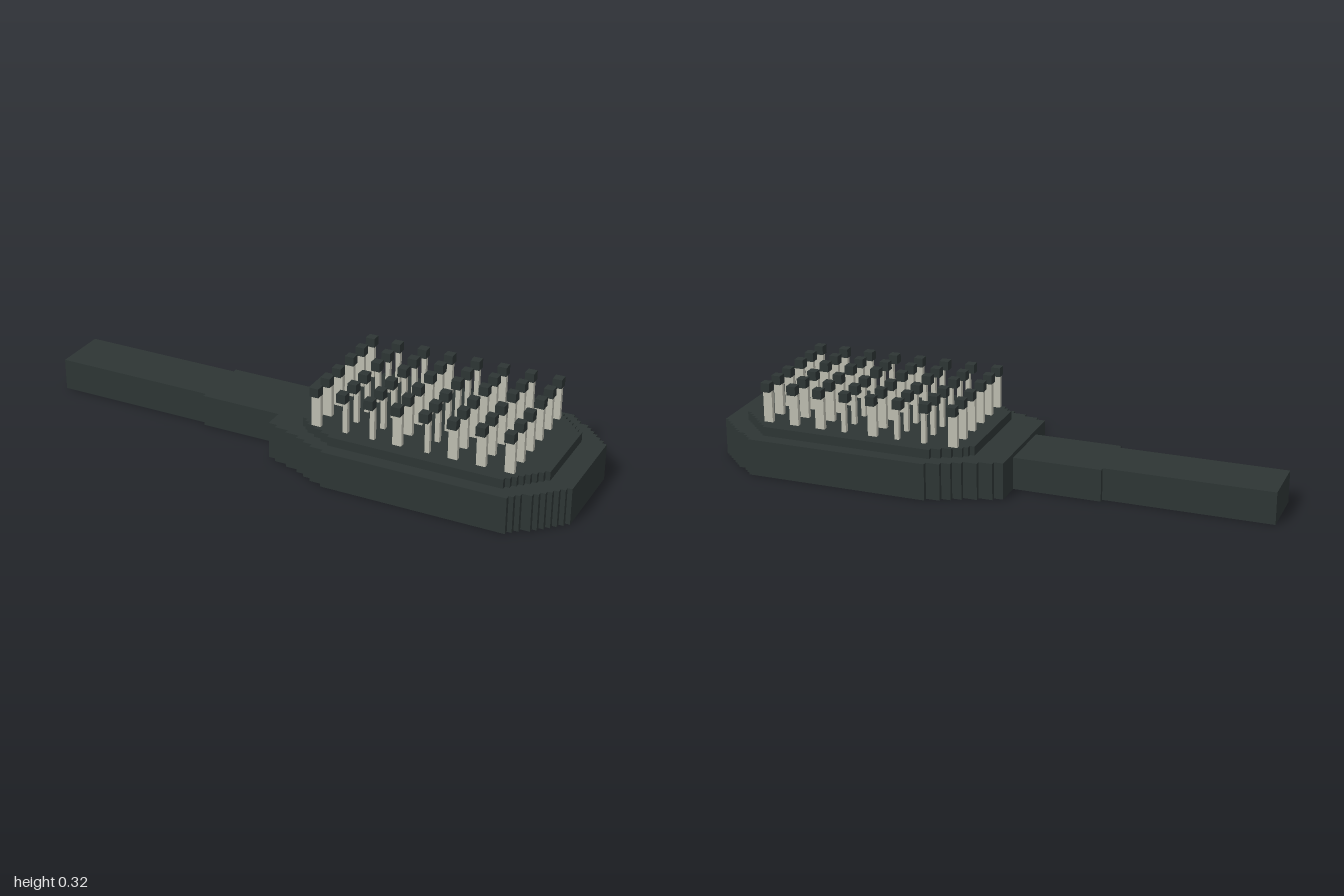
import * as THREE from 'three';

// One grid cell; every size below is counted in cells
const U = 1 / 60;

export function createModel() {
  const model = new THREE.Group();
  model.name = 'hairbrush';
  const dark = new THREE.MeshStandardMaterial({ color: 0x2d3534 });
  dark.name = 'charcoal';
  const pale = new THREE.MeshStandardMaterial({ color: 0xbdbdb0 });
  pale.name = 'pale grey';

  const add = (name, geometry, material, parent = model) => {
    const mesh = new THREE.Mesh(geometry, material);
    mesh.name = name;
    parent.add(mesh);
    return mesh;
  };

  // Box from its minimum to its maximum corner
  const box = (name, x0, x1, y0, y1, z0, z1, material, parent) => {
    const g = new THREE.BoxGeometry((x1 - x0) * U, (y1 - y0) * U, (z1 - z0) * U);
    add(name, g, material, parent)
      .position.set((x0 + x1) * U / 2, (y0 + y1) * U / 2, (z0 + z1) * U / 2);
  };

  // Slab with a stair-stepped outline: each step is [start x, half width]
  const steppedSlab = (name, steps, endX, y0, y1) => {
    const side = [];
    steps.forEach(([x, half], i) => {
      const next = i + 1 < steps.length ? steps[i + 1][0] : endX;
      side.push([x, half], [next, half]);
    });
    const outline = [
      ...side.map(([x, h]) => new THREE.Vector2(x * U, -h * U)),
      ...side.reverse().map(([x, h]) => new THREE.Vector2(x * U, h * U)),
    ];
    const g = new THREE.ExtrudeGeometry(new THREE.Shape(outline), {
      depth: (y1 - y0) * U, bevelEnabled: false,
    });
    g.rotateX(-Math.PI / 2);
    add(name, g, dark).position.y = y0 * U;
  };

  // Handle with a slightly wider neck
  box('handle', -60, -24, 0, 7, -6, 6, dark);
  box('neck', -24, -5, 0, 7, -7, 7, dark);

  // Head and raised cushion
  steppedSlab('head', [
    [-5, 13], [-3, 14], [0, 15], [3, 16], [5, 17], [7, 18], [10, 19], [50, 18],
    [51, 17], [52, 16], [54, 15], [55, 14], [56, 13], [57, 12], [58, 11], [59, 10],
  ], 60, 0, 8);
  steppedSlab('cushion', [
    [2, 11], [3, 12], [4, 13], [6, 14], [8, 15], [10, 16],
    [48, 15], [49, 14], [50, 13], [51, 12], [52, 11], [53, 10], [54, 9],
  ], 55, 8, 10);

  // Bristles with square tips, mirrored front to back
  const bristles = new THREE.Group();
  bristles.name = 'bristles';
  model.add(bristles);
  const thinColumns = [1, 2, 4];
  for (let column = 0; column < 8; column++) {
    const x = 5 + column * 6;
    const stemX = thinColumns.includes(column) ? x + 1 : x;
    for (const z of [2, 7, 12]) {
      for (const s of [-1, 1]) {
        const [stem0, stem1] = s > 0 ? [z, z + 1] : [-z - 1, -z];
        const [tip0, tip1] = s > 0 ? [z, z + 2] : [-z - 2, -z];
        box('bristleStem', stemX, x + 2, 10, 17, stem0, stem1, pale, bristles);
        box('bristleTip', x, x + 2, 17, 19, tip0, tip1, dark, bristles);
      }
    }
  }
  return model;
}
